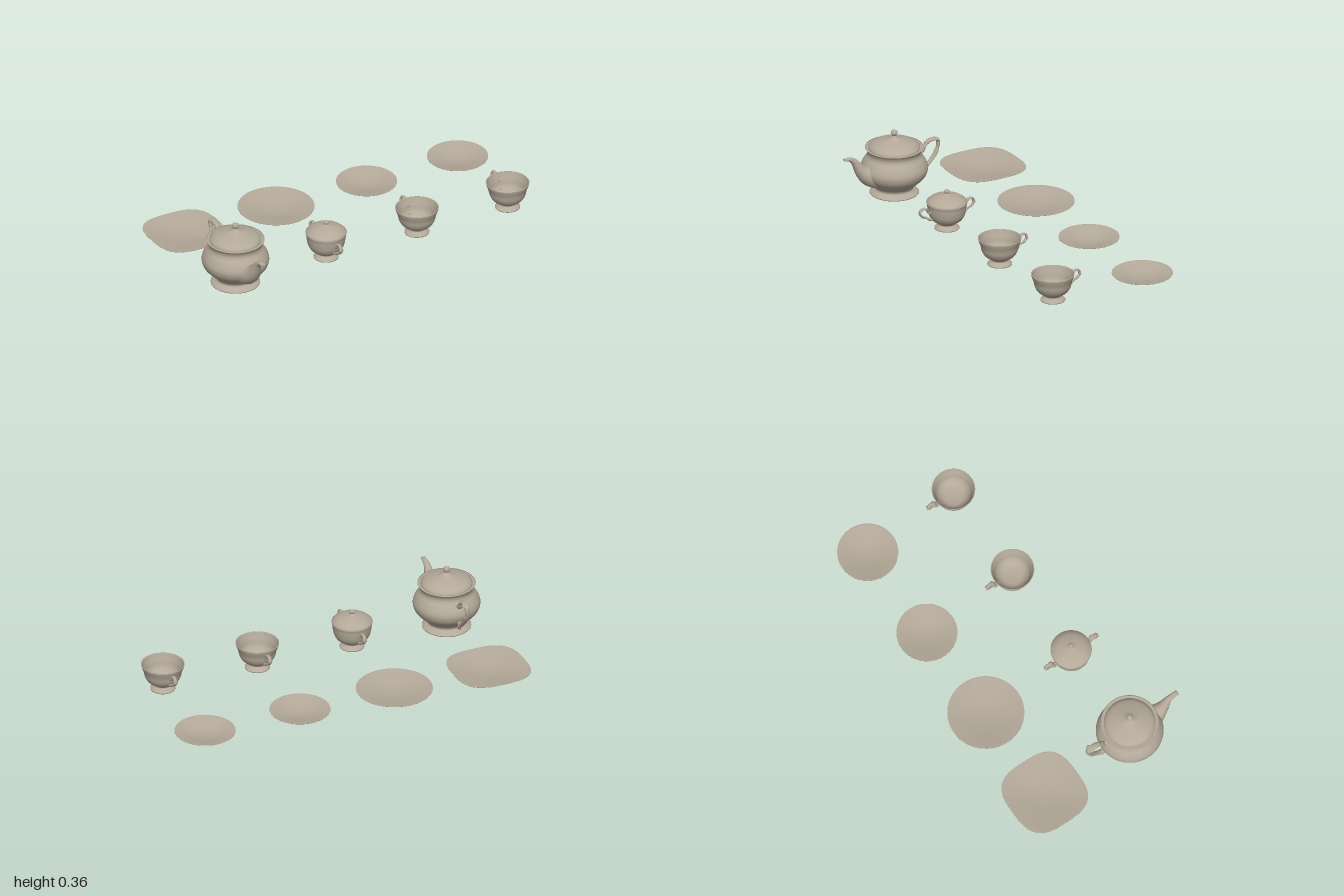
import * as THREE from 'three';

const porcelain = new THREE.MeshStandardMaterial({ color: 0xb4a999, side: THREE.DoubleSide });
porcelain.name = 'porcelain';

function add(group, name, geometry) {
  const mesh = new THREE.Mesh(geometry, porcelain);
  mesh.name = name;
  group.add(mesh);
  return mesh;
}

// Turned shape: each run of [radius, height] is a smooth curve; runs meet at crisp corners
function turned(...runs) {
  const points = [];
  for (const run of runs) {
    const v = run.map(([r, y]) => new THREE.Vector2(r, y));
    const smooth = v.length > 2 ? new THREE.SplineCurve(v).getPoints(v.length * 4) : v;
    points.push(...smooth.map((p) => new THREE.Vector2(Math.max(p.x, 0), p.y)));
  }
  const clean = points.filter((p, i) => i === 0 || p.distanceTo(points[i - 1]) > 1e-5);
  return new THREE.LatheGeometry(clean, 56);
}

// Swept tube in the y-z plane; stations are [z, y, half width in x, half thickness]
function swept(stations, steps = 48, sides = 14) {
  const path = new THREE.CatmullRomCurve3(stations.map(([z, y]) => new THREE.Vector3(0, y, z)));
  const size = new THREE.CatmullRomCurve3(stations.map(([, , w, h]) => new THREE.Vector3(w, h, 0)));
  const pos = [], index = [];
  for (let i = 0; i <= steps; i++) {
    const p = path.getPoint(i / steps), t = path.getTangent(i / steps), s = size.getPoint(i / steps);
    for (let j = 0; j < sides; j++) {
      const a = (j / sides) * Math.PI * 2, n = Math.cos(a) * s.y;
      pos.push(Math.sin(a) * s.x, p.y - t.z * n, p.z + t.y * n);
    }
  }
  for (let i = 0; i < steps; i++) {
    for (let j = 0; j < sides; j++) {
      const k = (j + 1) % sides;
      const a = i * sides + j, b = i * sides + k, c = a + sides, d = b + sides;
      index.push(a, b, c, b, d, c);
    }
  }
  // end caps
  const last = steps * sides;
  for (let j = 1; j < sides - 1; j++) index.push(0, j + 1, j, last, last + j, last + j + 1);
  const g = new THREE.BufferGeometry();
  g.setAttribute('position', new THREE.Float32BufferAttribute(pos, 3));
  g.setIndex(index);
  g.computeVertexNormals();
  return g;
}

function teapot() {
  const g = new THREE.Group();
  add(g, 'teapotBody', turned(
    [[0, 0.007], [0.13, 0.007]],
    [[0.13, 0.011], [0.121, 0.018], [0.106, 0.026], [0.1, 0.036], [0.108, 0.052], [0.138, 0.078],
      [0.166, 0.108], [0.178, 0.142], [0.174, 0.17], [0.16, 0.198], [0.146, 0.218], [0.141, 0.235],
      [0.145, 0.252], [0.154, 0.265]],
    [[0.15, 0.267], [0.136, 0.258], [0, 0.258]],
  ));
  add(g, 'teapotLid', turned(
    [[0.136, 0.26], [0.136, 0.268]],
    [[0.13, 0.274], [0.118, 0.284], [0.1, 0.292], [0.072, 0.301], [0.046, 0.308], [0.026, 0.316],
      [0.014, 0.324], [0.01, 0.331]],
    [[0.01, 0.331], [0.016, 0.338], [0.018, 0.346], [0.015, 0.355], [0.008, 0.361], [0, 0.363]],
  ));
  add(g, 'teapotSpout', swept([
    [0.08, 0.115, 0.085, 0.06], [0.13, 0.126, 0.07, 0.062], [0.172, 0.145, 0.052, 0.05],
    [0.205, 0.174, 0.036, 0.034], [0.228, 0.208, 0.025, 0.024], [0.25, 0.238, 0.018, 0.016],
    [0.276, 0.254, 0.014, 0.011], [0.305, 0.256, 0.014, 0.006],
  ]));
  add(g, 'teapotHandle', swept([
    [-0.135, 0.205, 0.012, 0.012], [-0.168, 0.204, 0.014, 0.012], [-0.182, 0.228, 0.015, 0.01],
    [-0.205, 0.25, 0.015, 0.01], [-0.238, 0.257, 0.016, 0.009], [-0.263, 0.25, 0.016, 0.009],
    [-0.267, 0.215, 0.014, 0.009], [-0.25, 0.172, 0.014, 0.009], [-0.215, 0.13, 0.013, 0.009],
    [-0.187, 0.108, 0.013, 0.01], [-0.15, 0.105, 0.012, 0.012],
  ], 60));
  // curled tail under the lower handle joint
  add(g, 'teapotHandleTail', swept([
    [-0.192, 0.112, 0.011, 0.009], [-0.177, 0.095, 0.011, 0.009],
    [-0.167, 0.078, 0.009, 0.008], [-0.167, 0.064, 0.004, 0.003],
  ], 16));
  return g;
}

// Outer bowl shared by the cups and the sugar bowl
const foot = [[0, 0.007], [0.066, 0.007]];
const bowl = (rim) => [[0.066, 0.011], [0.057, 0.018], [0.046, 0.026], [0.044, 0.034], [0.058, 0.043],
  [0.08, 0.06], [0.095, 0.085], [0.102, 0.115], [rim - 0.004, 0.14], [rim, 0.156]];

const earHandle = () => swept([
  [-0.095, 0.112, 0.007, 0.006], [-0.113, 0.117, 0.008, 0.006], [-0.122, 0.136, 0.009, 0.006],
  [-0.142, 0.146, 0.009, 0.006], [-0.161, 0.138, 0.009, 0.006], [-0.163, 0.117, 0.009, 0.006],
  [-0.145, 0.099, 0.008, 0.006], [-0.122, 0.089, 0.008, 0.006], [-0.104, 0.075, 0.008, 0.006],
  [-0.078, 0.072, 0.007, 0.006],
]);

function sugarBowl() {
  const g = new THREE.Group();
  add(g, 'sugarBowlBody', turned(foot, bowl(0.109), [[0.104, 0.156], [0, 0.152]]));
  add(g, 'sugarBowlLid', turned(
    [[0.107, 0.154], [0.107, 0.16]],
    [[0.104, 0.163], [0.094, 0.172], [0.078, 0.182], [0.056, 0.19], [0.034, 0.195], [0.016, 0.2],
      [0.009, 0.205]],
    [[0.009, 0.205], [0.013, 0.21], [0.014, 0.216], [0.011, 0.223], [0, 0.228]],
  ));
  add(g, 'sugarBowlBackHandle', earHandle());
  add(g, 'sugarBowlFrontHandle', earHandle()).rotation.y = Math.PI;
  return g;
}

function cup() {
  const g = new THREE.Group();
  add(g, 'cupBowl', turned(foot, bowl(0.115),
    [[0.111, 0.156], [0.106, 0.14], [0.097, 0.115], [0.089, 0.087], [0.073, 0.065], [0.05, 0.051], [0, 0.046]]));
  add(g, 'cupHandle', earHandle());
  return g;
}

function plate(name, radius, squareness = 2) {
  const g = new THREE.Group();
  const base = radius * 0.28;
  const geometry = turned(
    [[0, 0.005], [base, 0.005]],
    [[base, 0.005], [radius * 0.65, 0.021], [radius, 0.038]],
    [[radius, 0.04], [radius * 0.75, 0.031], [radius * 0.5, 0.0215], [radius * 0.25, 0.0145], [0, 0.012]],
  );
  if (squareness > 2) {
    // push the round outline out to a rounded square
    const p = geometry.attributes.position;
    for (let i = 0; i < p.count; i++) {
      const x = p.getX(i), z = p.getZ(i), r = Math.hypot(x, z);
      if (r < 1e-6) continue;
      const f = (Math.abs(x / r) ** squareness + Math.abs(z / r) ** squareness) ** (-1 / squareness);
      const k = 1 + (f - 1) * Math.min(1, r / radius);
      p.setX(i, x * k);
      p.setZ(i, z * k);
    }
    geometry.computeVertexNormals();
  }
  add(g, name, geometry);
  return g;
}

export function createModel() {
  const model = new THREE.Group();
  model.name = 'teaSet';
  const place = (name, part, x, z) => {
    part.name = name;
    part.position.set(x, 0, z);
    model.add(part);
  };
  // vessels in the front row
  place('teapot', teapot(), -0.797, 0.22);
  place('sugarBowl', sugarBowl(), -0.253, 0.222);
  place('innerCup', cup(), 0.292, 0.224);
  place('outerCup', cup(), 0.837, 0.224);
  // dishes in the back row
  place('squarePlate', plate('squareDish', 0.204, 3.1), -0.796, -0.323);
  place('roundPlate', plate('roundDish', 0.203), -0.252, -0.323);
  place('innerSaucer', plate('saucerDish', 0.161), 0.292, -0.323);
  place('outerSaucer', plate('saucerDish', 0.161), 0.839, -0.323);
  return model;
}
